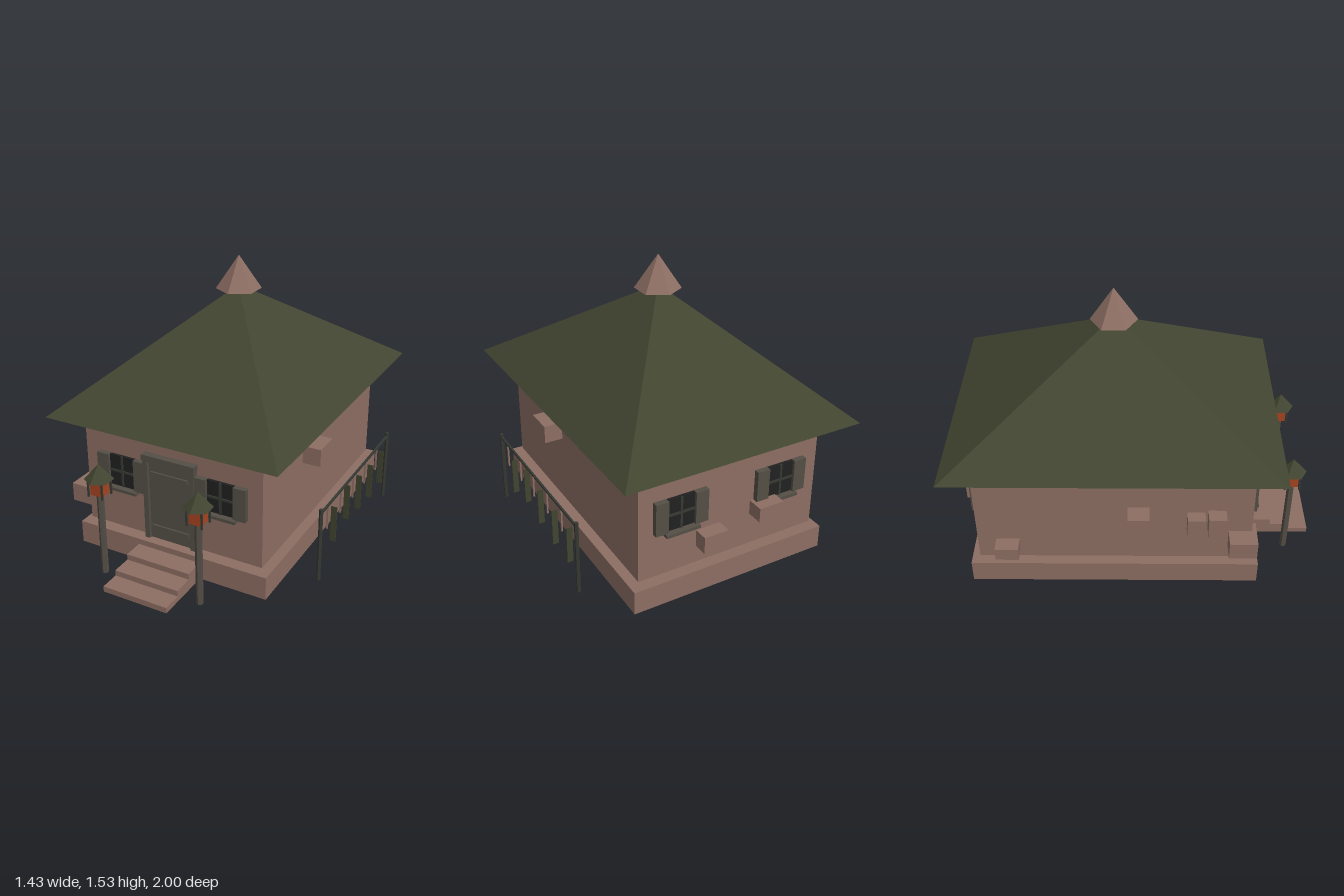
import * as THREE from 'three';

export function createModel() {
  const root = new THREE.Group();
  root.name = 'cottage';

  const mat = (name, color) => {
    const m = new THREE.MeshStandardMaterial({ color });
    m.name = name;
    return m;
  };
  const stone = mat('brownStone', 0x8d6e63);
  const roofGreen = mat('mossGreen', 0x414530);
  const wood = mat('greyWood', 0x544f46);
  const iron = mat('darkIron', 0x363a33);
  const glass = mat('darkGlass', 0x212121);
  const glow = mat('lanternOrange', 0xa84420);

  const add = (parent, name, geo, material, x = 0, y = 0, z = 0) => {
    const mesh = new THREE.Mesh(geo, material);
    mesh.name = name;
    mesh.position.set(x, y, z);
    parent.add(mesh);
    return mesh;
  };
  // Box given by its minimum and maximum on each axis
  const box = (parent, name, material, x0, x1, y0, y1, z0, z1) =>
    add(parent, name, new THREE.BoxGeometry(x1 - x0, y1 - y0, z1 - z0), material,
      (x0 + x1) / 2, (y0 + y1) / 2, (z0 + z1) / 2);
  // Faceted geometry with hard edges
  const facet = (geo) => {
    const g = geo.toNonIndexed();
    g.computeVertexNormals();
    return g;
  };
  const group = (name, x = 0, y = 0, z = 0) => {
    const g = new THREE.Group();
    g.name = name;
    g.position.set(x, y, z);
    root.add(g);
    return g;
  };

  // Foundation, walls and front steps
  box(root, 'foundation', stone, -0.61, 0.53, 0, 0.13, -0.895, 0.67);
  box(root, 'walls', stone, -0.57, 0.485, 0.15, 0.785, -0.85, 0.625);
  [[0, 0.032, 1], [0.032, 0.064, 0.893], [0.064, 0.097, 0.782]].forEach(([y0, y1, z]) =>
    box(root, 'step', stone, -0.233, 0.146, y0, y1, 0.66, z));

  // Pyramid roof and its cap
  const pyramid = new THREE.ConeGeometry(Math.SQRT1_2, 1, 4).rotateY(Math.PI / 4).scale(1.345, 0.58, 1.765);
  add(root, 'roof', facet(pyramid), roofGreen, -0.0425, 1.075, -0.1125);
  add(root, 'roofCap', facet(new THREE.ConeGeometry(0.125, 0.185, 6)), stone, -0.0425, 1.4375, -0.1125);

  // Stones that stick out of the walls
  [
    [0.46, 0.587, 0.53, 0.63, 0, 0.155],
    [-0.67, -0.51, 0.24, 0.345, 0.5, 0.65],
    [-0.67, -0.55, 0.435, 0.515, -0.04, 0.075],
    [-0.645, -0.55, 0.375, 0.495, 0.385, 0.48],
    [-0.635, -0.55, 0.36, 0.48, 0.275, 0.37],
    [-0.655, -0.55, 0.205, 0.28, -0.75, -0.625],
    [0.015, 0.155, 0.25, 0.345, -0.93, -0.83],
    [-0.31, -0.165, 0.335, 0.415, -0.94, -0.83],
  ].forEach((b) => box(root, 'wallStone', stone, ...b));

  // Door with frame and two cross boards
  const door = group('door', -0.041, 0, 0.62);
  box(door, 'doorPanel', wood, -0.125, 0.125, 0.15, 0.62, 0, 0.022);
  box(door, 'doorLintel', wood, -0.157, 0.157, 0.615, 0.648, 0, 0.045);
  for (const s of [-1, 1]) {
    add(door, 'doorJamb', new THREE.BoxGeometry(0.028, 0.465, 0.04), wood, s * 0.139, 0.3825, 0.02);
  }
  for (const y of [0.54, 0.222]) {
    add(door, 'doorBoard', new THREE.BoxGeometry(0.222, 0.024, 0.032), wood, 0, y, 0.016);
  }

  // Shuttered windows, two in front and two at the back
  for (const front of [true, false]) {
    for (const x of [-0.335, 0.255]) {
      const w = group('window', x, 0.4975, front ? 0.625 : -0.85);
      if (!front) w.rotation.y = Math.PI;
      box(w, 'windowPane', glass, -0.078, 0.078, -0.09, 0.09, -0.005, 0.015);
      box(w, 'windowMullion', iron, -0.006, 0.006, -0.09, 0.09, 0.01, 0.021);
      box(w, 'windowCrossbar', iron, -0.078, 0.078, -0.006, 0.006, 0.01, 0.021);
      box(w, 'windowSill', wood, -0.097, 0.097, -0.109, -0.092, -0.005, 0.046);
      for (const s of [-1, 1]) {
        add(w, 'shutter', new THREE.BoxGeometry(0.072, 0.182, 0.035), wood, s * 0.113, 0, 0.0125);
      }
    }
  }

  // Lantern posts
  for (const x of [-0.33, 0.25]) {
    const l = group('lanternPost', x, 0, 0.85);
    add(l, 'post', facet(new THREE.CylinderGeometry(0.019, 0.019, 0.467, 6)), wood, 0, 0.2335, 0);
    add(l, 'lamp', new THREE.BoxGeometry(0.07, 0.074, 0.066), glow, 0, 0.513, 0);
    add(l, 'lanternHat', facet(new THREE.ConeGeometry(0.077, 0.085, 6)), roofGreen, 0, 0.603, 0);
    for (const sx of [-1, 1]) {
      for (const sz of [-1, 1]) {
        add(l, 'lanternBar', new THREE.BoxGeometry(0.009, 0.1, 0.009), iron, sx * 0.042, 0.517, sz * 0.039);
      }
    }
  }

  // Side rail with hanging cords and thin plates
  const rail = group('sideRail', 0.695, 0, 0);
  for (const z of [0.383, -0.605]) {
    add(rail, 'railPost', facet(new THREE.CylinderGeometry(0.011, 0.011, 0.425, 6)), iron, 0, 0.2125, z);
  }
  add(rail, 'railBar', new THREE.BoxGeometry(0.011, 0.011, 0.988), iron, 0, 0.402, -0.111);
  const plateTops = [0.345, 0.385, 0.355, 0.335, 0.34];
  plateTops.forEach((top, i) => {
    const z = 0.293 - i * 0.18;
    add(rail, 'railCord', new THREE.BoxGeometry(0.009, 0.135, 0.009), stone, 0, 0.33, z);
    add(rail, 'railPlate', new THREE.BoxGeometry(0.033, 0.21, 0.005), roofGreen, 0, top - 0.105, z - 0.09);
  });

  return root;
}
